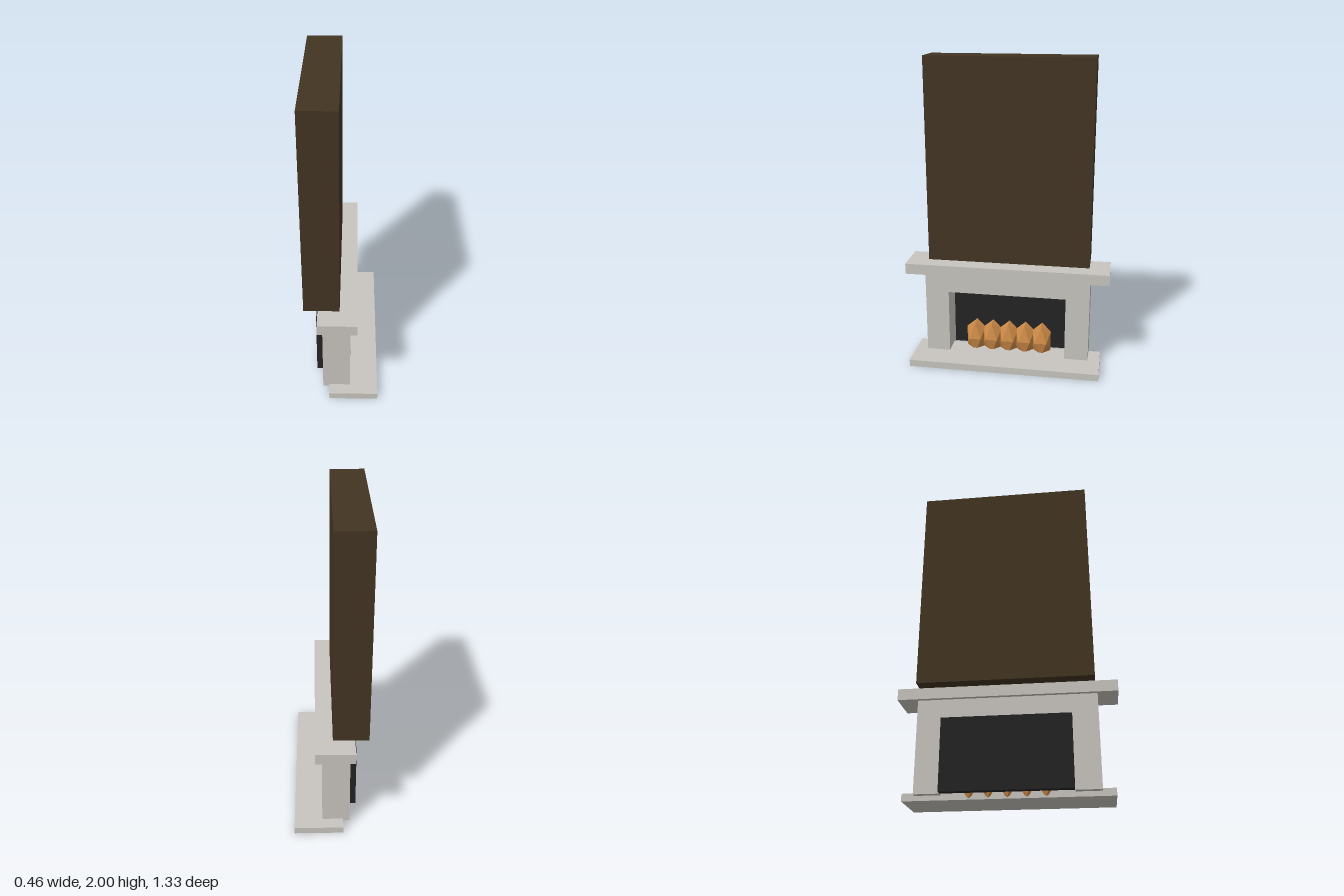
import * as THREE from 'three';

const paint = (name, color) => {
  const m = new THREE.MeshStandardMaterial({ color });
  m.name = name;
  return m;
};

export function createModel() {
  const stone = paint('stone', 0xc8c5bf);
  const wood = paint('darkWood', 0x423422);
  const soot = paint('soot', 0x232323);
  const ember = paint('ember', 0xcd8a48);
  ember.flatShading = true;

  const model = new THREE.Group();
  model.name = 'fireplace';

  // Box given by its lower and upper limits on each axis
  function block(name, material, [x0, x1], [y0, y1], [z0, z1]) {
    const mesh = new THREE.Mesh(new THREE.BoxGeometry(x1 - x0, y1 - y0, z1 - z0), material);
    mesh.position.set((x0 + x1) / 2, (y0 + y1) / 2, (z0 + z1) / 2);
    mesh.name = name;
    model.add(mesh);
  }

  // Chimney breast, mantel shelf and hearth slab
  block('chimneyBreast', wood, [-0.233, -0.013], [0.672, 2], [-0.532, 0.532]);
  block('mantel', stone, [-0.147, 0.095], [0.602, 0.672], [-0.665, 0.665]);
  block('hearth', stone, [-0.08, 0.23], [0, 0.045], [-0.621, 0.621]);

  // Surround: two piers and a lintel around the opening
  const depth = [-0.121, 0.053];
  block('leftPier', stone, depth, [0.03, 0.602], [-0.543, -0.388]);
  block('rightPier', stone, depth, [0.03, 0.602], [0.388, 0.543]);
  block('lintel', stone, depth, [0.472, 0.602], [-0.388, 0.388]);

  // Firebox back panel
  block('firebox', soot, [-0.167, -0.121], [0.03, 0.472], [-0.388, 0.388]);

  // Row of faceted flames
  const flameShape = new THREE.IcosahedronGeometry(0.074, 0).scale(1, 1.74, 1);
  for (let i = -2; i <= 2; i++) {
    const flame = new THREE.Mesh(flameShape, ember);
    flame.position.set(-0.05, 0.118, i * 0.112);
    flame.name = 'flame';
    model.add(flame);
  }

  return model;
}
